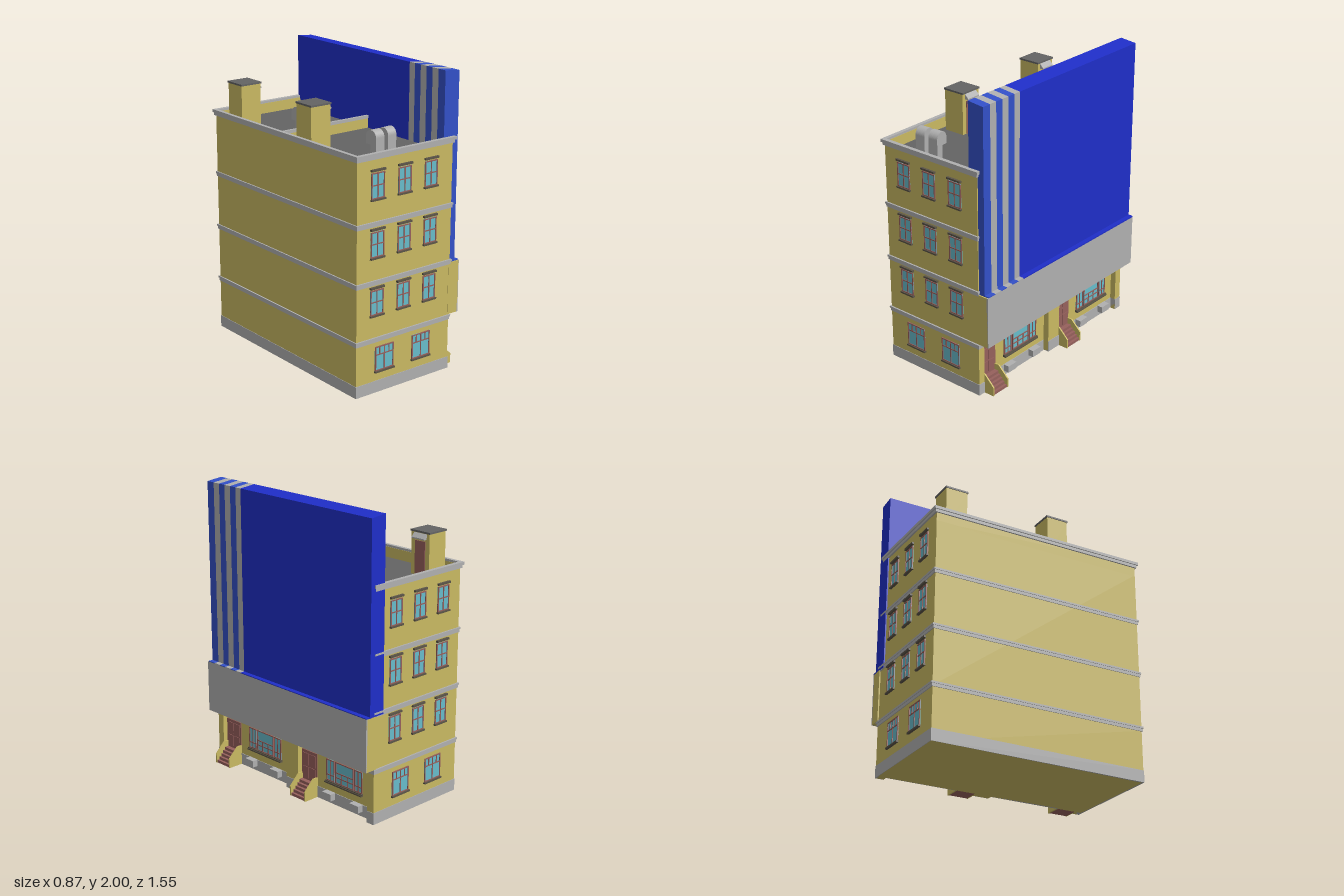
import * as THREE from 'three';

const mat = (color) => new THREE.MeshStandardMaterial({ color, flatShading: true });
const M = {
  wall: mat(0xc9b962), trim: mat(0xb0b0b0), roof: mat(0x646464), red: mat(0x96605c),
  glass: mat(0x68bccb), dark: mat(0x5c5548), blue: mat(0x1f2ec8), lightBlue: mat(0x3350c8),
};

// Box given by its bounds on each axis
function box(parent, name, m, x0, x1, y0, y1, z0, z1) {
  const mesh = new THREE.Mesh(new THREE.BoxGeometry(x1 - x0, y1 - y0, z1 - z0), m);
  mesh.position.set((x0 + x1) / 2, (y0 + y1) / 2, (z0 + z1) / 2);
  mesh.name = name;
  parent.add(mesh);
  return mesh;
}

// Outline in x, y pushed along z from z0 to z1
function prism(parent, name, m, pts, z0, z1) {
  const shape = pts instanceof THREE.Shape ? pts : new THREE.Shape(pts.map((p) => new THREE.Vector2(...p)));
  const geo = new THREE.ExtrudeGeometry(shape, { depth: z1 - z0, bevelEnabled: false, curveSegments: 10 });
  const mesh = new THREE.Mesh(geo, m);
  mesh.position.z = z0;
  mesh.name = name;
  parent.add(mesh);
  return mesh;
}

// Window facing +z, centred on x = 0, bottom at y = 0; bars are [x0, x1, y0, y1] fractions
function makeWindow(w, h, bars, lintel) {
  const g = new THREE.Group();
  g.name = 'window';
  const t = 0.007, f = 0.008;
  box(g, 'glass', M.glass, -w / 2, w / 2, 0, h, -0.004, 0.003);
  for (const s of [-1, 1]) {
    const x = s * (w / 2 - t / 2);
    box(g, 'frameSide', M.red, x - t / 2, x + t / 2, 0, h, 0, f);
  }
  box(g, 'frameBottom', M.red, -w / 2, w / 2, 0, t, 0, f);
  box(g, 'frameTop', M.red, -w / 2, w / 2, h - t, h, 0, f);
  for (const [x0, x1, y0, y1] of bars) {
    const px = x0 === x1 ? t / 2 : 0, py = y0 === y1 ? t / 2 : 0;
    box(g, 'glazingBar', M.red, (x0 - 0.5) * w - px, (x1 - 0.5) * w + px, y0 * h - py, y1 * h + py, 0, f - 0.001);
  }
  box(g, 'sill', M.dark, -w / 2 - 0.005, w / 2 + 0.005, -0.01, 0.001, -0.003, 0.016);
  if (lintel) box(g, 'lintel', M.dark, -w / 2 - 0.004, w / 2 + 0.004, h + 0.01, h + 0.023, -0.003, 0.016);
  return g;
}

const sash = [[0.5, 0.5, 0, 1], [0, 1, 0.52, 0.52]];
const wide = [[0, 1, 0.66, 0.66], [0.5, 0.5, 0, 1], [0.25, 0.25, 0.66, 1], [0.75, 0.75, 0.66, 1]];
const shop = [[0, 1, 0.5, 0.5], [0, 1, 0.28, 0.28], [0.33, 0.33, 0, 0.5], [0.67, 0.67, 0, 0.5]];
const side = [[0.5, 0.5, 0, 1], [0, 1, 0.28, 0.28]];

// Shared end-wall windows, for the front or back
function endWindows(dir) {
  const g = new THREE.Group();
  g.name = dir > 0 ? 'frontWindows' : 'backWindows';
  const place = (win, x, y) => {
    win.position.set(x, y, dir * 0.755);
    if (dir < 0) win.rotation.y = Math.PI;
    g.add(win);
  };
  for (const y of [0.53, 0.91, 1.285])
    for (const x of [-0.26, -0.045, 0.17]) place(makeWindow(0.104, 0.165, sash, true), x, y);
  for (const x of [-0.195, 0.11]) place(makeWindow(0.15, 0.165, wide, false), x, 0.147);
  return g;
}

// Recessed shopfront; z is the front end of the bay, which runs 0.645 back from it
function shopfront(z) {
  const g = new THREE.Group();
  g.name = 'shopfront';
  const X = 0.31;
  box(g, 'plinth', M.trim, X - 0.01, X + 0.004, 0, 0.08, z - 0.645, z - 0.145);
  box(g, 'door', M.red, X - 0.01, X + 0.006, 0.08, 0.305, z - 0.145, z);
  for (const [a, b] of [[0.015, 0.068], [0.077, 0.13]])
    for (const [y0, y1] of [[0.11, 0.19], [0.2, 0.285]])
      box(g, 'doorPanel', M.red, X, X + 0.01, y0, y1, z - b, z - a);
  for (const [a, b, bars] of [[0.235, 0.308, side], [0.318, 0.482, shop], [0.49, 0.56, side]]) {
    const win = makeWindow(b - a, 0.15, bars, false);
    win.rotation.y = Math.PI / 2;
    win.position.set(X, 0.155, z - (a + b) / 2);
    g.add(win);
  }
  box(g, 'longSill', M.dark, X - 0.01, X + 0.022, 0.14, 0.15, z - 0.565, z - 0.23);
  for (const c of [0.273, 0.524]) box(g, 'basementBlock', M.trim, X, X + 0.045, 0.035, 0.082, z - c - 0.04, z - c + 0.04);
  // Entrance steps between sloping side walls
  for (let i = 0; i < 5; i++)
    box(g, 'step', M.red, X, 0.42 - i * 0.018, i * 0.019, (i + 1) * 0.019, z - 0.137, z - 0.006);
  for (const a of [0.147, 0.008])
    prism(g, 'stepSideWall', M.wall, [[X, 0], [0.425, 0], [0.425, 0.065], [0.35, 0.138], [X, 0.138]], z - a, z - a + 0.01);
  return g;
}

// Roof hut with a door, and a pair of hooded vents
function roofUnit(zHut, zVent) {
  const g = new THREE.Group();
  g.name = 'roofUnit';
  box(g, 'hut', M.wall, -0.373, -0.222, 1.49, 1.77, zHut - 0.076, zHut + 0.076);
  box(g, 'hutRoof', M.roof, -0.378, -0.217, 1.768, 1.78, zHut - 0.081, zHut + 0.081);
  box(g, 'hutDoor', M.red, -0.23, -0.217, 1.49, 1.715, zHut - 0.042, zHut + 0.042);
  prism(g, 'doorCanopy', M.trim, [[-0.222, 1.765], [-0.222, 1.73], [-0.195, 1.73], [-0.195, 1.738]], zHut - 0.052, zHut + 0.052);
  const hood = new THREE.Shape();
  hood.moveTo(0.045, 0);
  hood.lineTo(0.045, 0.145);
  hood.absarc(0, 0.145, 0.045, 0, Math.PI, false);
  hood.lineTo(-0.045, 0.1);
  hood.lineTo(-0.005, 0.1);
  hood.lineTo(-0.005, 0);
  [-0.185, -0.084].forEach((x, i) => {
    const vent = new THREE.Group();
    vent.name = 'vent';
    const body = prism(vent, 'ventHood', M.trim, hood, 0, 0.07);
    body.rotation.y = -Math.PI / 2;
    body.position.set(0.035, 0, 0);
    box(vent, 'ventOpening', M.dark, -0.027, 0.027, 0.107, 0.155, -0.047, -0.04);
    vent.position.set(x, 1.49, zVent - i * 0.007);
    vent.rotation.y = 0.07;
    g.add(vent);
  });
  return g;
}

export function createModel() {
  const root = new THREE.Group();
  root.name = 'cornerBuilding';

  // Walls, with piers framing the recessed ground floor
  box(root, 'groundFloor', M.wall, -0.42, 0.31, 0, 0.35, -0.755, 0.755);
  box(root, 'upperFloors', M.wall, -0.42, 0.35, 0.35, 1.48, -0.755, 0.755);
  for (const [a, b] of [[0.705, 0.755], [-0.06, 0.055], [-0.755, -0.70]]) {
    box(root, 'pier', M.wall, 0.3, 0.35, 0, 0.35, a, b);
    box(root, 'pierPlinth', M.trim, 0.3, 0.353, 0, 0.08, a, b);
  }
  for (const s of [-1, 1]) {
    const z = s * 0.753;
    box(root, 'endPlinth', M.trim, -0.423, 0.353, 0, 0.08, z - 0.005, z + 0.005);
  }
  box(root, 'sidePlinth', M.trim, -0.423, -0.41, 0, 0.08, -0.755, 0.755);

  // Floor bands in two steps
  for (const y of [0.345, 0.727, 1.108]) {
    box(root, 'floorBand', M.trim, -0.425, 0.355, y, y + 0.02, -0.761, 0.761);
    box(root, 'floorBandLip', M.trim, -0.429, 0.359, y + 0.02, y + 0.033, -0.766, 0.766);
  }

  // Roof, parapet and cornice
  box(root, 'roof', M.roof, -0.415, 0.345, 1.47, 1.49, -0.75, 0.75);
  for (const s of [-1, 1]) {
    const zs = (a, b) => (s > 0 ? [a, b] : [-b, -a]);
    box(root, 'parapet', M.wall, -0.42, 0.35, 1.47, 1.56, ...zs(0.744, 0.755));
    box(root, 'cornice', M.trim, -0.43, 0.358, 1.535, 1.555, ...zs(0.75, 0.766));
    box(root, 'corniceLip', M.trim, -0.437, 0.367, 1.555, 1.575, ...zs(0.746, 0.774));
  }
  box(root, 'sideParapet', M.wall, -0.42, -0.409, 1.47, 1.56, -0.755, 0.755);
  box(root, 'sideCornice', M.trim, -0.43, -0.415, 1.535, 1.555, -0.766, 0.766);
  box(root, 'sideCorniceLip', M.trim, -0.437, -0.411, 1.555, 1.575, -0.774, 0.774);
  box(root, 'middleParapet', M.wall, -0.415, 0.29, 1.48, 1.56, -0.006, 0.006);
  box(root, 'middleCoping', M.trim, -0.415, 0.29, 1.555, 1.575, -0.01, 0.01);

  root.add(endWindows(1), endWindows(-1));
  root.add(shopfront(0.705), shopfront(-0.06));
  root.add(roofUnit(0.168, 0.637), roofUnit(-0.59, -0.122));

  // Fascia over the shopfronts
  box(root, 'fasciaBox', M.wall, 0.34, 0.426, 0.38, 0.735, -0.764, 0.757);
  box(root, 'fasciaFace', M.trim, 0.42, 0.43, 0.38, 0.737, -0.764, 0.757);

  // Tall striped billboard with a matching ledge at its foot
  const edges = [0.748, 0.685, 0.63, 0.575, 0.52, 0.465, 0.415, -0.764];
  for (let i = 0; i < 7; i++) {
    const m = i === 6 ? M.blue : i % 2 ? M.trim : M.lightBlue;
    prism(root, 'billboardPanel', m, [[0.28, 0.735], [0.397, 0.735], [0.397, 1.988], [0.28, 2]], edges[i + 1], edges[i]);
    box(root, 'billboardLedge', m, 0.39, 0.43, 0.733, 0.742, edges[i + 1], edges[i]);
  }
  return root;
}
